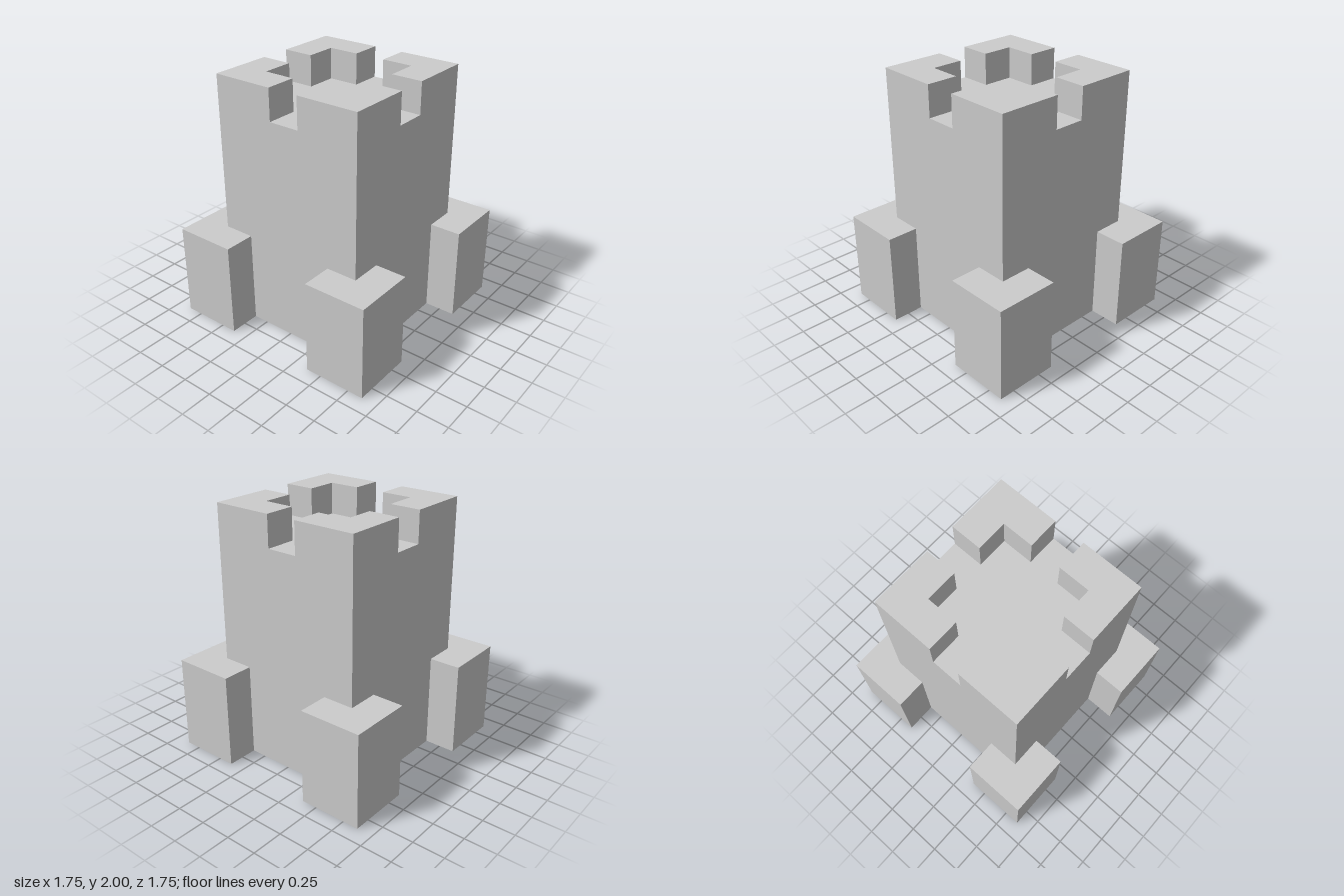
import * as THREE from 'three';

const material = new THREE.MeshStandardMaterial({ color: 0xcccccc, flatShading: true });

const HALF = 0.625;   // half width of the tower
const DECK = 1.75;    // height of the roof deck
const CORNERS = ['Back Left', 'Back Right', 'Front Right', 'Front Left'];

// L-shaped block around a corner: two arms of width 0.25, 0.5 long, outer corner at (outer, outer)
function cornerBlock(outer, height) {
  const mid = outer - 0.25, inner = outer - 0.5;
  const shape = new THREE.Shape([
    [outer, outer], [inner, outer], [inner, mid],
    [mid, mid], [mid, inner], [outer, inner],
  ].map(([x, y]) => new THREE.Vector2(x, y)));
  const geometry = new THREE.ExtrudeGeometry(shape, { depth: height, bevelEnabled: false });
  return geometry.rotateX(-Math.PI / 2);
}

// Four copies of a corner block, turned about the tower axis
function addCorners(parent, name, geometry, y) {
  CORNERS.forEach((corner, i) => {
    const mesh = new THREE.Mesh(geometry, material);
    mesh.name = `${name} ${corner}`;
    mesh.position.y = y;
    mesh.rotation.y = i * Math.PI / 2;
    parent.add(mesh);
  });
}

export function createModel() {
  const model = new THREE.Group();
  model.name = 'castle tower';

  // Square keep
  const keep = new THREE.Mesh(new THREE.BoxGeometry(HALF * 2, DECK, HALF * 2), material);
  keep.name = 'keep';
  keep.position.y = DECK / 2;
  model.add(keep);

  // Battlements on the roof corners
  addCorners(model, 'battlement', cornerBlock(HALF, 0.25), DECK);

  // Buttresses wrapped around the foot of each corner
  addCorners(model, 'buttress', cornerBlock(HALF + 0.25, 0.75), 0);

  return model;
}
